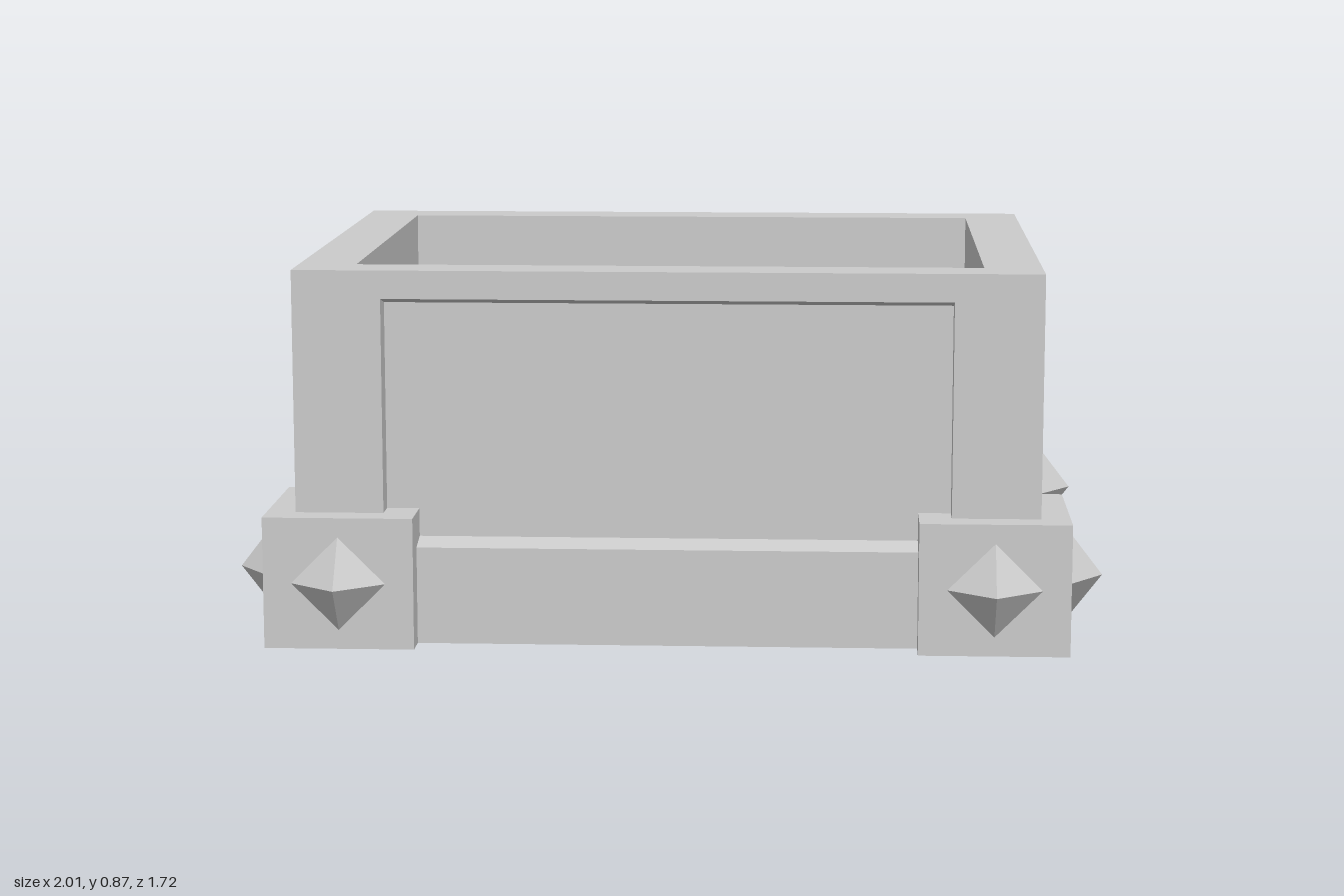
import * as THREE from 'three';

export function createModel() {
  const model = new THREE.Group();
  const mat = new THREE.MeshStandardMaterial({ color: 0xcccccc, flatShading: true });
  const H = 0.865;                       // height of the body
  const CZ = 0.06;                       // the body sits slightly forward

  const add = (name, geometry, x = 0, y = 0, z = 0, parent = model) => {
    const mesh = new THREE.Mesh(geometry, mat);
    mesh.name = name;
    mesh.position.set(x, y, z);
    parent.add(mesh);
    return mesh;
  };
  const polygon = (pts) => new THREE.Shape(pts.map(([a, b]) => new THREE.Vector2(a, b)));
  const extrude = (shape, depth) =>
    new THREE.ExtrudeGeometry(shape, { depth, bevelEnabled: false });

  // Walls: a C-shaped profile (rail, sunken panel, rim) swept between the posts
  const wall = (name, thick, sink, length, angle, x, z) => {
    const profile = polygon([
      [0, 0], [thick, 0], [thick, 0.225], [thick - sink, 0.24],
      [thick - sink, 0.785], [thick, 0.8], [thick, H], [0, H],
    ]);
    const geometry = extrude(profile, length).translate(0, 0, -length / 2).rotateY(angle);
    add(name, geometry, x, 0, z);
  };
  wall('frontWall', 0.115, 0.06, 1.3, -Math.PI / 2, 0, 0.595);
  wall('backWall', 0.115, 0.108, 1.3, Math.PI / 2, 0, -0.475);
  wall('leftWall', 0.133, 0.07, 0.875, 0, 0.72, 0.0675);
  wall('rightWall', 0.133, 0.07, 0.875, Math.PI, -0.72, 0.0675);

  // Corner posts: L-shaped in plan, with a slanted edge beside the side panels
  for (const sx of [1, -1]) {
    for (const [end, outer, inner, edge, slant] of [
      ['front', 0.71, 0.595, 0.505, -0.012],
      ['back', -0.59, -0.475, -0.37, 0.015],
    ]) {
      const plan = polygon([
        [0.853, outer], [0.65, outer], [0.65, inner], [0.72, inner],
        [0.72, edge + slant], [0.783, edge + slant], [0.853, edge],
      ].map(([x, z]) => [sx * x, z]));
      add(end + 'Post', extrude(plan, H).rotateX(Math.PI / 2), 0, H, 0);
    }
  }

  // Floor, and the ring below it that leaves a shallow recess underneath
  const rect = (x, z0, z1) => [[-x, z0], [x, z0], [x, z1], [-x, z1]];
  const ring = polygon(rect(0.72, -0.475, 0.595));
  ring.holes.push(polygon(rect(0.575, -0.31, 0.4)));
  add('baseRing', extrude(ring, 0.08).rotateX(Math.PI / 2), 0, 0.08, 0);
  add('floor', new THREE.BoxGeometry(1.44, 0.04, 1.07), 0, 0.1, CZ);

  // Corner feet with a pyramid stud on each outward face
  const stud = new THREE.ConeGeometry(0.108, 0.083, 4, 1, true)
    .rotateX(Math.PI / 2).translate(0, 0, 0.0415);
  for (const sx of [1, -1]) {
    for (const [end, sz, z, depth] of [['front', 1, 0.5925, 0.365], ['back', -1, -0.4775, 0.345]]) {
      const foot = new THREE.Group();
      foot.name = end + 'Foot';
      foot.position.set(sx * 0.7475, 0.1525, z);
      add('footBlock', new THREE.BoxGeometry(0.345, 0.305, depth), 0, 0, 0, foot);
      add('endStud', stud, 0, 0, sz * depth / 2, foot).rotation.y = sz > 0 ? 0 : Math.PI;
      add('sideStud', stud, sx * 0.1725, 0, 0, foot).rotation.y = sx * Math.PI / 2;
      model.add(foot);
    }
  }

  // Flared plate on the back that carries the handle
  const plate = polygon([
    [-0.27, 0.295], [0.27, 0.295], [0.27, 0.385], [0.2, 0.435], [0.13, 0.52],
    [0.13, 0.8], [-0.13, 0.8], [-0.13, 0.52], [-0.2, 0.435], [-0.27, 0.385],
  ]);
  add('handlePlate', extrude(plate, 0.115), 0, 0, -0.594);

  // Handle: a diamond section carried along outer and inner ridge points [z, y]
  const outer = [[-0.57, 0.81], [-0.73, 0.795], [-0.862, 0.68], [-0.862, 0.503], [-0.73, 0.387], [-0.57, 0.37]];
  const inner = [[-0.57, 0.72], [-0.695, 0.72], [-0.77, 0.65], [-0.77, 0.53], [-0.7, 0.472], [-0.57, 0.455]];
  const position = [], index = [];
  outer.forEach(([zo, yo], i) => {
    const [zi, yi] = inner[i];
    const zm = (zo + zi) / 2, ym = (yo + yi) / 2;
    position.push(0, yo, zo, 0.04, ym, zm, 0, yi, zi, -0.04, ym, zm);
    if (i === 0) return;
    for (let k = 0; k < 4; k++) {
      const a = (i - 1) * 4 + k, b = (i - 1) * 4 + (k + 1) % 4;
      index.push(a, b, a + 4, b, b + 4, a + 4);
    }
  });
  const handle = new THREE.BufferGeometry();
  handle.setAttribute('position', new THREE.Float32BufferAttribute(position, 3));
  handle.setIndex(index);
  const handleGeometry = handle.toNonIndexed();
  handleGeometry.computeVertexNormals();
  add('handle', handleGeometry);

  return model;
}
